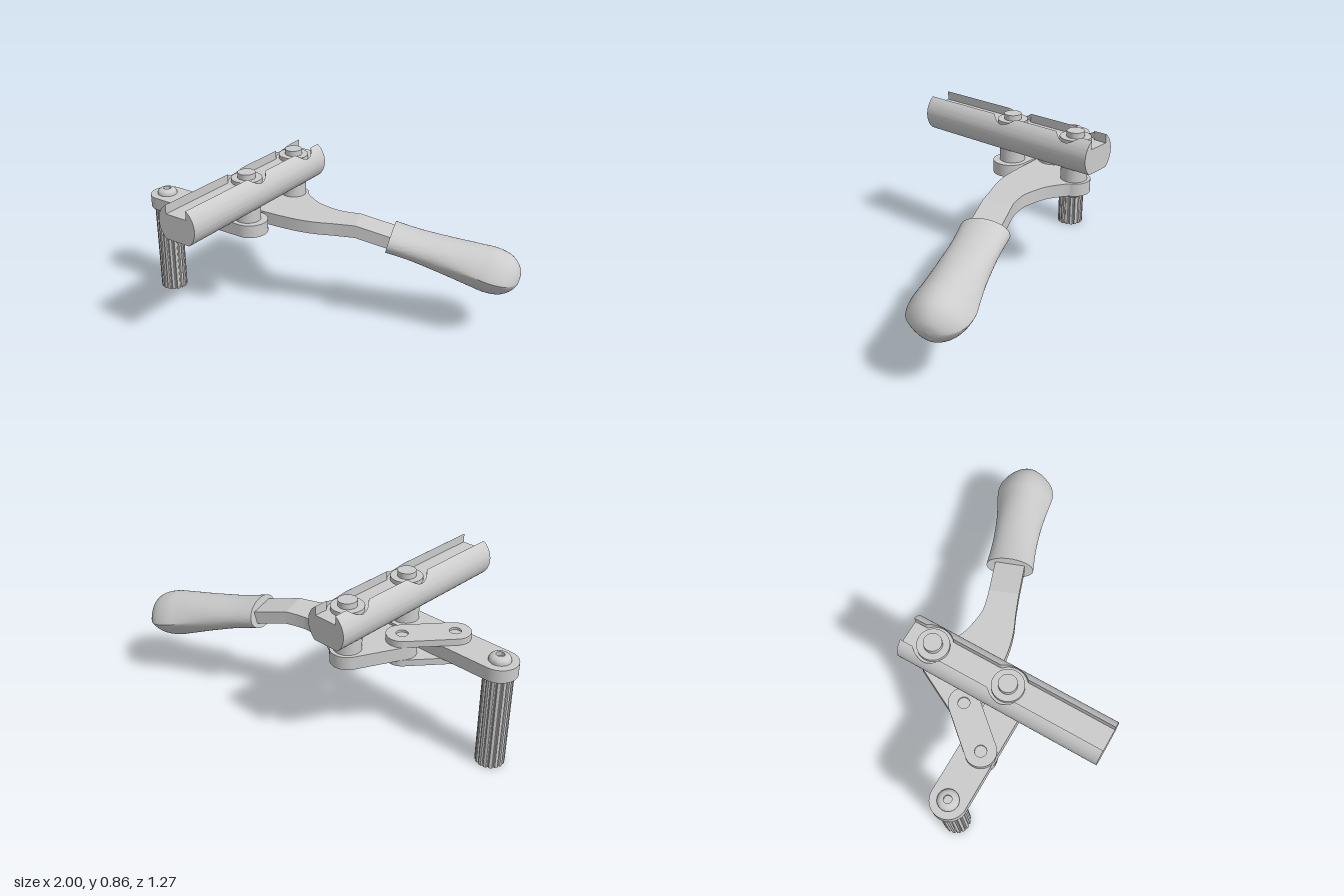
import * as THREE from 'three';
import { toCreasedNormals } from 'three/addons/utils/BufferGeometryUtils.js';

const PIVOT_X = -0.325, ARM_Z = 0.09, LEVER_Z = -0.33;
const PLATE_BOTTOM = 0.52, PLATE_TOP = 0.59;
const material = new THREE.MeshStandardMaterial({ color: 0xcccccc });

export function createModel() {
  const group = new THREE.Group();

  function add(name, geometry, x = 0, y = 0, z = 0) {
    const mesh = new THREE.Mesh(toCreasedNormals(geometry, 0.5), material);
    mesh.name = name;
    mesh.position.set(x, y, z);
    group.add(mesh);
    return mesh;
  }
  // Horizontal plate: shape coordinates are (x, z)
  const plate = (shape, y0, y1) =>
    new THREE.ExtrudeGeometry(shape, { depth: y1 - y0, bevelEnabled: false, curveSegments: 24 })
      .rotateX(Math.PI / 2).translate(0, y1, 0);
  const disc = (name, r, y0, y1, x, z) =>
    add(name, new THREE.CylinderGeometry(r, r, y1 - y0, 40), x, (y0 + y1) / 2, z);
  const vecs = (list) => list.map(([x, y]) => new THREE.Vector2(x, y));

  // Strip with round ends between two (x, z) points
  function strip(ax, az, bx, bz, r, holeRadius) {
    const a = Math.atan2(bz - az, bx - ax);
    const s = new THREE.Shape();
    s.absarc(ax, az, r, a + Math.PI / 2, a + Math.PI * 1.5, false);
    s.absarc(bx, bz, r, a - Math.PI / 2, a + Math.PI / 2, false);
    s.closePath();
    if (holeRadius) for (const [x, z] of [[ax, az], [bx, bz]]) {
      s.holes.push(new THREE.Path().absarc(x, z, holeRadius, 0, Math.PI * 2, true));
    }
    return s;
  }

  // Domed screw with a socket
  function buttonScrew(name, x, y, z, down) {
    const profile = vecs([[0.055, 0], [0.055, 0.01], [0.05, 0.02], [0.042, 0.027],
      [0.032, 0.031], [0.021, 0.032], [0.021, 0.012], [0, 0.012]]);
    const screw = add(name, new THREE.LatheGeometry(profile, 36), x, y, z);
    if (down) screw.rotation.x = Math.PI;
  }

  // Fluted post with a bored end
  const flutes = 16, per = 6;
  const post = new THREE.Shape();
  for (let i = 0; i < flutes * per; i++) {
    const a = (i / (flutes * per)) * Math.PI * 2;
    const r = [0.075, 0.075, 0.075, 0.075, 0.068, 0.068][i % per];
    if (i === 0) post.moveTo(r, 0);
    else post.lineTo(r * Math.cos(a), r * Math.sin(a));
  }
  post.closePath();
  post.holes.push(new THREE.Path().absarc(0, 0, 0.033, 0, Math.PI * 2, true));
  add('flutedPost', plate(post, 0, PLATE_BOTTOM), -0.91, 0, ARM_Z);
  disc('postCore', 0.033, 0.03, PLATE_BOTTOM, -0.91, ARM_Z);
  buttonScrew('postScrew', -0.91, PLATE_TOP, ARM_Z, false);

  // Post arm
  add('postArm', plate(strip(-0.908, ARM_Z, -0.31, ARM_Z, 0.095), PLATE_BOTTOM, PLATE_TOP));

  // Pair of links with their pins
  const linkEnds = [[-0.63, 0.108], [-0.46, -0.09]];
  for (const [name, y0, y1] of [['upperLink', PLATE_TOP, 0.625], ['lowerLink', 0.485, PLATE_BOTTOM]]) {
    add(name, plate(strip(...linkEnds[0], ...linkEnds[1], 0.08, 0.03), y0, y1));
  }
  for (const [x, z] of linkEnds) disc('linkPin', 0.03, 0.497, 0.613, x, z);

  // Lever plate, up to the bend
  const lever = new THREE.Shape();
  lever.moveTo(0.2, -0.152);
  lever.splineThru(vecs([[0.1, -0.113], [0, -0.07], [-0.1, -0.043], [-0.22, -0.028]]));
  lever.lineTo(-0.46, -0.014);
  lever.absarc(-0.46, -0.09, 0.076, Math.PI / 2, 3.65, false);
  lever.absarc(PIVOT_X, LEVER_Z, 0.088, 3.65, 5.9, false);
  lever.splineThru(vecs([[-0.205, -0.335], [-0.12, -0.292], [0, -0.272], [0.07, -0.28], [0.144, -0.302]]));
  lever.closePath();
  add('lever', plate(lever, PLATE_BOTTOM, PLATE_TOP));

  // Tang sloping down into the handle
  const dir = new THREE.Vector2(0.936, -0.351), slope = 0.24;
  const bend = new THREE.Vector2(0.172, -0.227);
  const corner = (along, side) => bend.clone().addScaledVector(dir, along)
    .add(new THREE.Vector2(-dir.y * side, dir.x * side));
  const tang = plate(new THREE.Shape([corner(0, -0.08), corner(0.24, -0.08), corner(0.24, 0.08), corner(0, 0.08)]),
    PLATE_BOTTOM, PLATE_TOP);
  const tp = tang.attributes.position;
  for (let i = 0; i < tp.count; i++) {
    const along = (tp.getX(i) - bend.x) * dir.x + (tp.getZ(i) - bend.y) * dir.y;
    tp.setY(i, tp.getY(i) - slope * along);
  }
  add('leverTang', tang);

  // Handle: turned profile, flattened, with the bulb pinched to a side ridge
  const outline = new THREE.SplineCurve(vecs([[0.128, 0], [0.122, 0.15], [0.129, 0.32], [0.147, 0.46],
    [0.158, 0.545], [0.146, 0.62], [0.112, 0.668], [0.06, 0.7], [0, 0.71]])).getPoints(48);
  outline[outline.length - 1].x = 0;
  const handle = new THREE.LatheGeometry([new THREE.Vector2(0, 0), ...outline], 56);
  const hp = handle.attributes.position;
  for (let i = 0; i < hp.count; i++) {
    const x = hp.getX(i), s = hp.getY(i), z = hp.getZ(i);
    const r = Math.hypot(x, z);
    if (r < 1e-6) continue;
    const flat = 0.6 + 0.18 * THREE.MathUtils.smoothstep(s, 0, 0.45);
    const pinch = 0.7 * THREE.MathUtils.smoothstep(s, 0.25, 0.55);
    hp.setZ(i, z * flat * Math.pow(Math.abs(z) / r, pinch));
  }
  const axis = new THREE.Vector3(dir.x, -slope, dir.y).normalize();
  const side = new THREE.Vector3().crossVectors(axis, new THREE.Vector3(0, 1, 0)).normalize();
  const up = new THREE.Vector3().crossVectors(side, axis);
  handle.applyMatrix4(new THREE.Matrix4().makeBasis(side, axis, up));
  add('handle', handle, 0.34, 0.512, -0.29);

  // Round bar with a flat underside and a top channel, counterbored at the screws
  const R = 0.115, FLAT = -0.088, FLOOR = 0.048, HALF = 0.064, BORE = 0.098;
  const barY = 0.755, barBack = -0.475, barLength = 1.11;
  const a0 = Math.asin(FLAT / R), a1 = Math.acos(HALF / R);
  const right = [];
  for (let i = 0; i <= 24; i++) {
    const a = a0 + (a1 - a0) * i / 24;
    right.push([R * Math.cos(a), R * Math.sin(a)]);
  }
  right.push([HALF, FLOOR]);
  const left = right.map(([x, y]) => [-x, y]).reverse();
  const bar = new THREE.ExtrudeGeometry(new THREE.Shape(vecs([...right, ...left])),
    { depth: barLength, steps: 185, bevelEnabled: false });
  const bp = bar.attributes.position;
  for (let i = 0; i < bp.count; i++) {
    const x = bp.getX(i), y = bp.getY(i), z = bp.getZ(i) + barBack;
    const d = Math.min(Math.abs(z - ARM_Z), Math.abs(z - LEVER_Z));
    const w = Math.sqrt(Math.max(0, BORE * BORE - d * d));
    if (y > FLOOR - 1e-4 && Math.abs(x) < w) {
      bp.setXY(i, Math.sign(x) * w, Math.min(y, Math.sqrt(R * R - w * w)));
    }
  }
  add('bar', bar, PIVOT_X, barY, barBack);

  // Pivots joining the bar to the arm and the lever
  for (const z of [ARM_Z, LEVER_Z]) {
    disc('pivotSpacer', 0.07, PLATE_TOP, 0.675, PIVOT_X, z);
    disc('pivotWasher', 0.082, 0.8, 0.825, PIVOT_X, z);
    disc('pivotBoltHead', 0.047, 0.82, 0.855, PIVOT_X, z);
    buttonScrew('pivotScrew', PIVOT_X, PLATE_BOTTOM, z, true);
  }

  return group;
}
